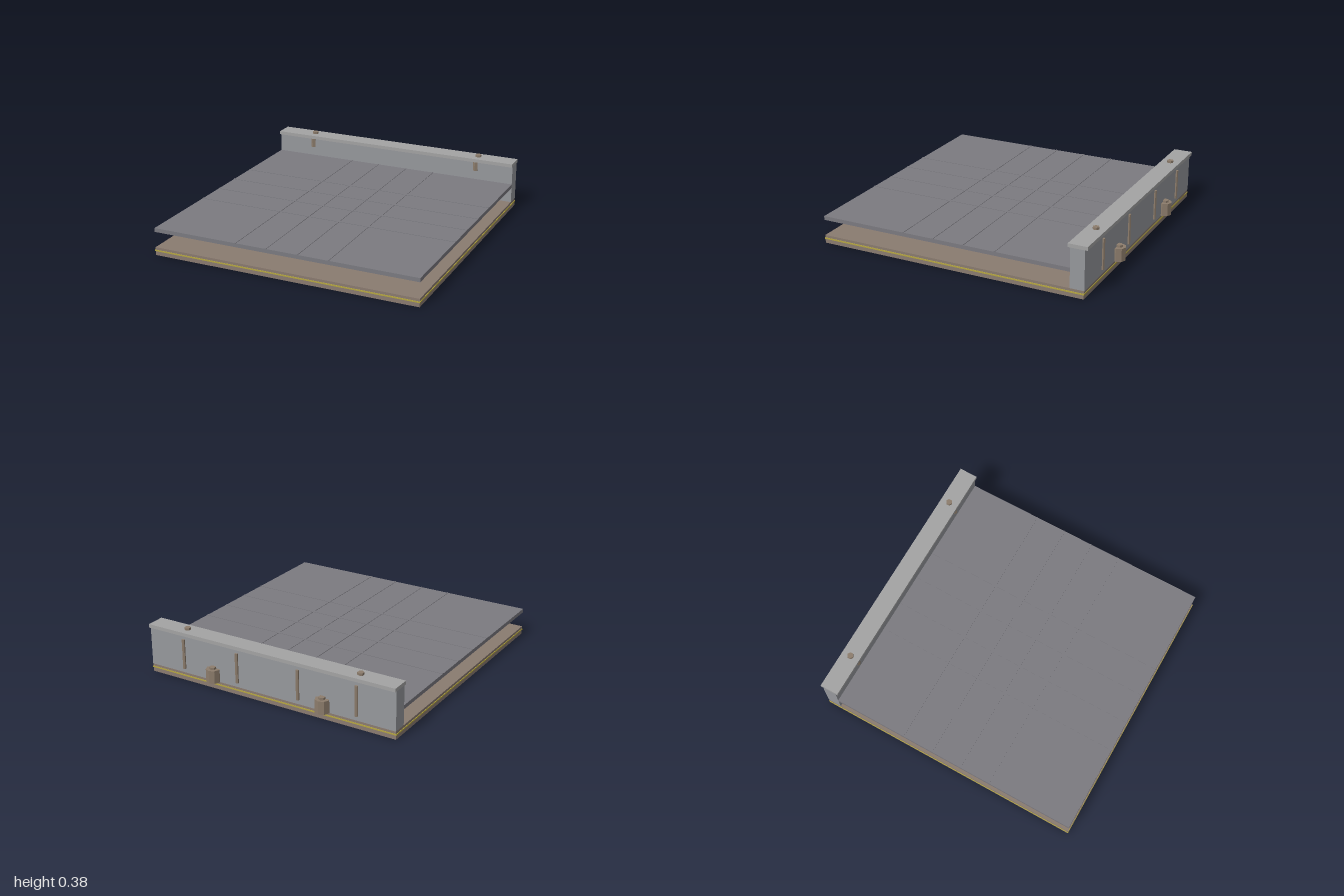
import * as THREE from 'three';

const paint = (color) => new THREE.MeshStandardMaterial({ color, flatShading: true });

export function createModel() {
  const model = new THREE.Group();
  const brown = paint(0x8a7b70), grey = paint(0x96989c), capGrey = paint(0xa3a3a3);
  const slate = paint(0x7b7a80), brass = paint(0xb5a642), bronze = paint(0x8d7d6c);

  const add = (name, geometry, material) => {
    const mesh = new THREE.Mesh(geometry, material);
    mesh.name = name;
    model.add(mesh);
    return mesh;
  };
  // Box given by its limits on each axis
  const box = (name, material, [x0, x1], [y0, y1], [z0, z1]) =>
    add(name, new THREE.BoxGeometry(x1 - x0, y1 - y0, z1 - z0), material)
      .position.set((x0 + x1) / 2, (y0 + y1) / 2, (z0 + z1) / 2);
  // Upright faceted post
  const post = (name, material, radius, sides, x, [y0, y1], z) =>
    add(name, new THREE.CylinderGeometry(radius, radius, y1 - y0, sides), material)
      .position.set(x, (y0 + y1) / 2, z);

  const W = 0.963, width = [-W, W];

  // Layered base with a brass seam
  box('baseBottom', brown, width, [0, 0.03], [-0.937, 0.997]);
  box('baseSeam', brass, [-W - 0.004, W + 0.004], [0.03, 0.04], [-0.94, 1]);
  box('baseTop', brown, width, [0.04, 0.058], [-0.937, 0.997]);

  // Floating plate with a grid of thin raised strips
  box('plate', slate, width, [0.17, 0.198], [-0.84, 0.997]);
  for (const x of [-0.34, -0.115, 0.115, 0.335])
    box('lengthStrip', slate, [x - 0.006, x + 0.006], [0.196, 0.201], [-0.84, 0.998]);
  for (const z of [0.37, 0.145, -0.08, -0.31])
    box('crossStrip', slate, width, [0.196, 0.201], [z - 0.006, z + 0.006]);

  // Rear wall and overhanging cap
  box('rearWall', grey, width, [0.058, 0.335], [-0.94, -0.84]);
  box('wallCap', capGrey, width, [0.335, 0.36], [-0.957, -0.822]);

  for (const side of [-1, 1]) {
    // Bolt through the cap, with pegs under its front and back overhang
    post('capBolt', bronze, 0.023, 6, side * 0.68, [0.355, 0.376], -0.89);
    post('frontPeg', bronze, 0.02, 6, side * 0.675, [0.265, 0.336], -0.846);
    // Rods on the back of the wall
    for (const x of [0.24, 0.68])
      post('backRod', bronze, 0.012, 6, side * x, [0.09, 0.305], -0.943);
    // Knob with a small head
    post('backKnob', bronze, 0.05, 8, side * 0.432, [0.06, 0.153], -0.95);
    post('knobHead', bronze, 0.024, 6, side * 0.432, [0.15, 0.168], -0.955);
  }
  return model;
}
